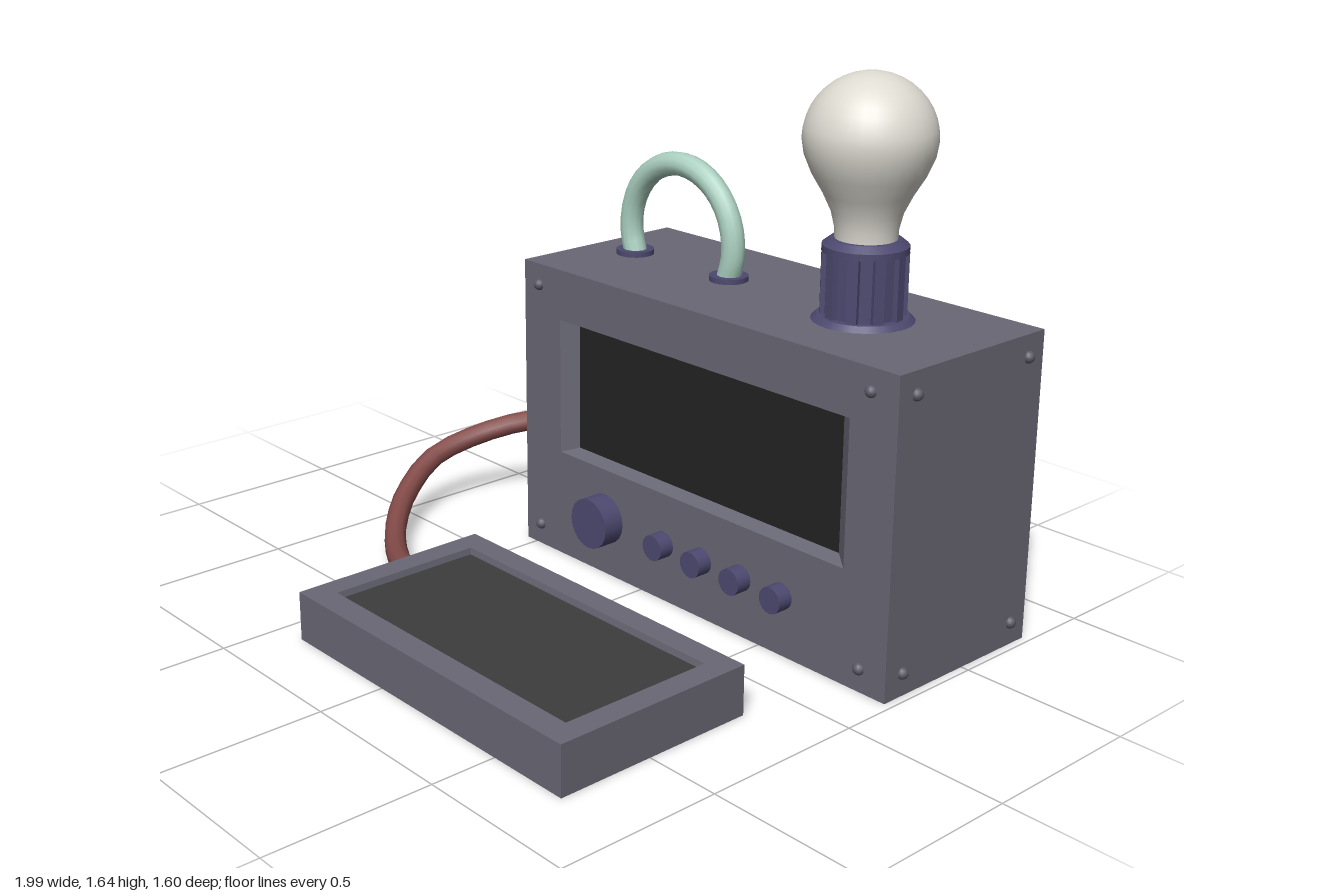
import * as THREE from 'three';

export function createModel() {
  const model = new THREE.Group();
  const mat = (name, color, side = THREE.FrontSide) => {
    const m = new THREE.MeshStandardMaterial({ color, side });
    m.name = name;
    return m;
  };
  const casing = mat('casing grey', 0x686774, THREE.DoubleSide);
  const fitting = mat('fitting purple', 0x4d4970);
  const cableRed = mat('cable red', 0x824a48, THREE.DoubleSide);
  const mint = mat('handle mint', 0xabd0c1);
  const glass = mat('bulb white', 0xdedbd2);
  const black = mat('screen black', 0x232323, THREE.DoubleSide);
  const charcoal = mat('pad charcoal', 0x3d3d3d);
  const steel = mat('screw grey', 0x5c5b68);

  const add = (name, geo, material, x = 0, y = 0, z = 0) => {
    const m = new THREE.Mesh(geo, material);
    m.name = name;
    m.position.set(x, y, z);
    model.add(m);
    return m;
  };

  // Flat-faced skin through rectangles [x0, x1, y0, y1, z]; openBottom leaves out the first lower wall
  const rectLoft = (rects, openBottom = false) => {
    const rings = rects.map(([x0, x1, y0, y1, z]) => [[x0, y0, z], [x1, y0, z], [x1, y1, z], [x0, y1, z]]);
    const p = [];
    for (let i = 0; i < rings.length - 1; i++) {
      for (let k = openBottom && i === 0 ? 1 : 0; k < 4; k++) {
        const n = (k + 1) % 4, a = rings[i], b = rings[i + 1];
        p.push(...a[k], ...a[n], ...b[n], ...a[k], ...b[n], ...b[k]);
      }
    }
    const g = new THREE.BufferGeometry();
    g.setAttribute('position', new THREE.Float32BufferAttribute(p, 3));
    g.computeVertexNormals();
    return g;
  };

  // Main housing: open underneath, with a bevelled screen recess in front
  const L = -0.545, R = 0.975, H = 0.94, back = -0.78, front = -0.17;
  add('housing', rectLoft([
    [L, R, 0, H, back], [L, R, 0, H, front],
    [-0.377, 0.81, 0.345, 0.78, front], [-0.33, 0.757, 0.362, 0.767, front - 0.04],
  ], true), casing);
  add('housingBack', new THREE.PlaneGeometry(R - L, H), casing, (L + R) / 2, H / 2, back).rotation.y = Math.PI;
  add('screen', new THREE.PlaneGeometry(1.087, 0.405), black, 0.2135, 0.5645, front - 0.04);

  // Tray: open underneath, with a sunken pad on top
  add('tray', rectLoft([
    [-0.4, 0.765, -0.8, -0.16, 0], [-0.4, 0.765, -0.8, -0.16, 0.15],
    [-0.325, 0.69, -0.72, -0.235, 0.15], [-0.322, 0.687, -0.717, -0.238, 0.13],
  ]).rotateX(-Math.PI / 2), casing);
  add('trayPad', new THREE.PlaneGeometry(1.01, 0.48).rotateX(-Math.PI / 2), charcoal, 0.1825, 0.13, 0.4775);
  add('trayPadUnderside', new THREE.PlaneGeometry(1.01, 0.48).rotateX(Math.PI / 2), black, 0.1825, 0.126, 0.4775);

  // Screws near every corner of the four walls
  const screw = new THREE.SphereGeometry(0.018, 12, 8);
  for (const y of [0.07, 0.873]) {
    for (const x of [-0.475, 0.88]) for (const z of [front, back]) add('screw', screw, steel, x, y, z);
    for (const z of [-0.24, -0.715]) for (const x of [L, R]) add('screw', screw, steel, x, y, z);
  }

  // Control knobs
  const knob = (name, x, r, depth) =>
    add(name, new THREE.CylinderGeometry(r, r, depth, 20).rotateX(Math.PI / 2), fitting, x, 0.185, front + depth / 2);
  knob('largeKnob', -0.165, 0.08, 0.07);
  for (const x of [0.1, 0.262, 0.423, 0.585]) knob('smallKnob', x, 0.04, 0.05);

  // Carrying handle: slightly more than a half circle between two collars
  const hx = -0.165, mid = -0.48;
  const arc = [];
  for (let i = 0; i <= 16; i++) {
    const a = -0.42 + (Math.PI + 0.84) * i / 16;
    arc.push(new THREE.Vector3(hx + 0.225 * Math.cos(a), 1.035 + 0.225 * Math.sin(a), mid));
  }
  add('handle', new THREE.TubeGeometry(new THREE.CatmullRomCurve3(arc), 24, 0.037, 12), mint);
  for (const s of [-1, 1]) {
    add('handleCollar', new THREE.CylinderGeometry(0.06, 0.06, 0.016, 20), fitting, hx + s * 0.208, H + 0.008, mid);
  }

  // Lamp socket: flange, fluted barrel and tapered rim
  const bx = 0.575;
  add('socketFlange', new THREE.CylinderGeometry(0.132, 0.148, 0.016, 24), fitting, bx, H + 0.008, mid);
  const flutes = new THREE.Shape();
  for (let i = 0; i < 10; i++) {
    [[0, 0.123], [0.4, 0.123], [0.45, 0.109], [0.95, 0.109]].forEach(([t, r], k) => {
      const a = (i + t) * Math.PI / 5;
      flutes[i + k ? 'lineTo' : 'moveTo'](r * Math.cos(a), r * Math.sin(a));
    });
  }
  add('socketBarrel', new THREE.ExtrudeGeometry(flutes, { depth: 0.19, bevelEnabled: false }).rotateX(-Math.PI / 2),
    fitting, bx, 0.95, mid);
  add('socketRim', new THREE.CylinderGeometry(0.123, 0.123, 0.02, 24), fitting, bx, 1.147, mid);
  add('socketRimTop', new THREE.CylinderGeometry(0.1, 0.123, 0.018, 24), fitting, bx, 1.166, mid);

  // Light bulb
  const bulb = [[0.088, 1.17], [0.09, 1.205], [0.101, 1.25], [0.125, 1.3], [0.158, 1.355], [0.181, 1.41]]
    .map(([r, y]) => new THREE.Vector2(r, y));
  for (let i = 0; i <= 10; i++) {
    const a = i / 10 * Math.PI / 2;
    bulb.push(new THREE.Vector2(Math.max(0, 0.188 * Math.cos(a)), 1.455 + 0.185 * Math.sin(a)));
  }
  add('bulb', new THREE.LatheGeometry(bulb, 32), glass, bx, 0, mid);

  // Cable looping from the housing to the tray, with a collar at each end
  const path = [
    [-0.55, 0.285, -0.485], [-0.65, 0.293, -0.5], [-0.797, 0.278, -0.43], [-0.914, 0.235, -0.295],
    [-0.963, 0.178, -0.107], [-0.904, 0.11, 0.053], [-0.797, 0.064, 0.176], [-0.663, 0.043, 0.273],
    [-0.53, 0.053, 0.337], [-0.39, 0.082, 0.355],
  ].map((p) => new THREE.Vector3(...p));
  add('cable', new THREE.TubeGeometry(new THREE.CatmullRomCurve3(path), 20, 0.035, 10), cableRed);
  add('cableCollar', new THREE.CylinderGeometry(0.077, 0.077, 0.03, 20).rotateZ(Math.PI / 2), fitting, L - 0.015, 0.285, mid);
  add('trayCollar', new THREE.CylinderGeometry(0.045, 0.045, 0.008, 16).rotateZ(Math.PI / 2), fitting, -0.404, 0.08, 0.355);

  // Slotted side plate, standing just off the wall
  const plate = new THREE.Shape();
  plate.moveTo(-0.63, 0.5).lineTo(-0.33, 0.5).lineTo(-0.33, 0.75).lineTo(-0.63, 0.75);
  const slot = new THREE.Path();
  slot.moveTo(-0.555, 0.61).lineTo(-0.555, 0.675).lineTo(-0.365, 0.675).lineTo(-0.365, 0.61);
  plate.holes.push(slot);
  add('sidePlate', new THREE.ExtrudeGeometry(plate, { depth: 0.009, bevelEnabled: false }).rotateY(-Math.PI / 2),
    cableRed, -0.556, 0, 0);

  return model;
}
